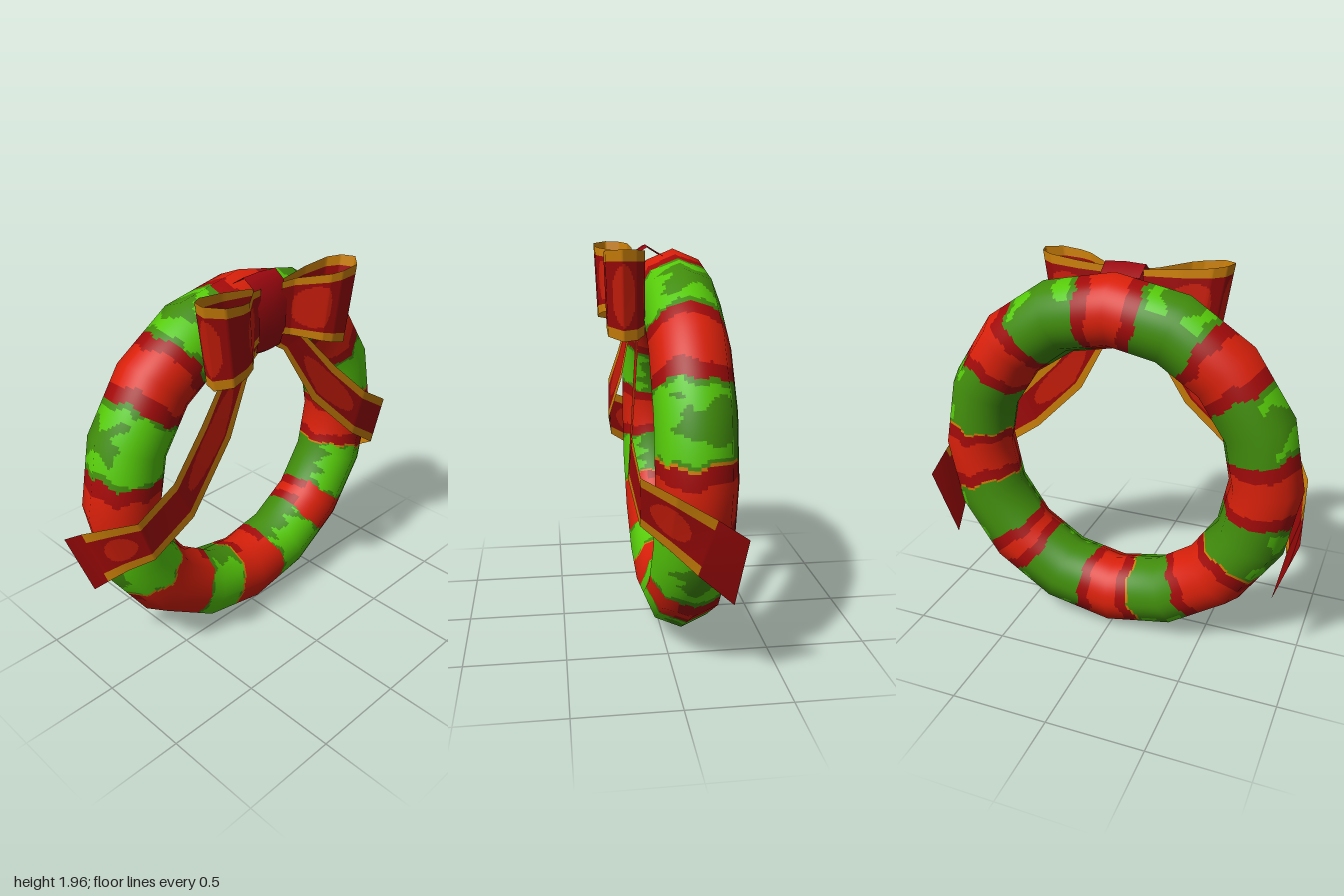
import * as THREE from 'three';

const mat = (name, color, side = THREE.FrontSide) => {
  const m = new THREE.MeshStandardMaterial({ color, side });
  m.name = name;
  return m;
};
const V = (x, y, z) => new THREE.Vector3(x, y, z);

// Bilinear sample of a coarse grid f(i, j), so fine cells keep the low-poly outline
function sample(f, u, v, nu, nv) {
  const i = Math.min(Math.floor(u), nu - 1), j = Math.min(Math.floor(v), nv - 1);
  const a = f(i, j).lerp(f(i + 1, j), u - i);
  const b = f(i, j + 1).lerp(f(i + 1, j + 1), u - i);
  return a.lerp(b, v - j);
}

// Sheet of nu x nv coarse cells, each cut su x sv; paint(u, v) picks a material index
function paintedSheet(name, nu, nv, su, sv, pos, paint, materials, normal) {
  const U = nu * su, W = nv * sv, p = [], n = [];
  const bins = materials.map(() => []);
  for (let i = 0; i <= U; i++) for (let j = 0; j <= W; j++) {
    p.push(...sample(pos, i / su, j / sv, nu, nv));
    if (normal) n.push(...sample(normal, i / su, j / sv, nu, nv).normalize());
  }
  for (let i = 0; i < U; i++) for (let j = 0; j < W; j++) {
    const a = i * (W + 1) + j, b = a + W + 1;
    bins[paint((i + 0.5) / su, (j + 0.5) / sv)].push(a, b, a + 1, b, b + 1, a + 1);
  }
  const g = new THREE.BufferGeometry();
  g.setAttribute('position', new THREE.Float32BufferAttribute(p, 3));
  g.setIndex(bins.flat());
  let start = 0;
  bins.forEach((b, k) => {
    if (b.length) g.addGroup(start, b.length, k);
    start += b.length;
  });
  if (normal) g.setAttribute('normal', new THREE.Float32BufferAttribute(n, 3));
  else g.computeVertexNormals();
  const mesh = new THREE.Mesh(g, materials);
  mesh.name = name;
  return mesh;
}

export function createModel() {
  const group = new THREE.Group();
  group.name = 'wreath';
  const RED = 0, DARK = 1, GOLD = 2, GREEN = 3, DEEP = 4;
  const ringMats = [mat('red', 0xd8200a), mat('darkRed', 0xa20a0a), mat('gold', 0xcc8008),
    mat('lightGreen', 0x56ca0a), mat('deepGreen', 0x418c0c)];
  const ribbonMats = [mat('ribbonRed', 0xc81d0a, THREE.DoubleSide),
    mat('ribbonDarkRed', 0x9c0909, THREE.DoubleSide), mat('ribbonGold', 0xcc8008, THREE.DoubleSide)];
  const knotMat = mat('knotCrimson', 0x9e0810, THREE.DoubleSide);

  // Ring: 16 segments of an octagonal tube
  const dir = (i, j) => {
    const t = i * Math.PI / 8, f = j * Math.PI / 4;
    return V(Math.cos(f) * Math.cos(t), Math.cos(f) * Math.sin(t), Math.sin(f));
  };
  const ringPos = (i, j) => {
    const t = i * Math.PI / 8;
    return dir(i, j).multiplyScalar(0.186)
      .add(V(0.784 * Math.cos(t), 0.976 + 0.784 * Math.sin(t), -0.085));
  };
  // Red stripes as start and end angles in degrees
  const stripes = [[-16, 7], [31, 54], [79, 101], [123, 145], [168, 192], [214, 240], [260, 282], [305, 320]];
  const goldEdges = [7, 214, 260, 344];
  const ringPaint = (u, v) => {
    const f = v * Math.PI / 4, t = u * Math.PI / 8;
    const front = Math.sin(f), outer = Math.cos(f);
    const a = u * 22.5 + 0.8 * Math.sin(3 * f + 5 * t) + 0.5 * Math.sin(7 * f + 2 * t);
    let edge = 99, red = false;
    for (const [s, e] of stripes) for (const o of [0, 360]) {
      edge = Math.min(edge, Math.abs(a - s - o), Math.abs(a - e - o));
      if (a > s + o && a < e + o) red = true;
    }
    if (!red && edge < 0.9 && goldEdges.some(g => Math.abs(a - g) < 0.9)) return GOLD;
    const wave = Math.sin(t * 41 + 2 * f) + 0.7 * Math.sin(t * 67 + 1);
    if (red) {
      const plain = front > 0.35 && Math.sin(t) < -0.3;
      return !plain && edge < 4.8 + 0.3 * wave ? DARK : RED;
    }
    if (front > 0.5 + 0.13 * wave) return edge < 1.3 + 0.9 * Math.sin(9 * f + 13 * t) ? DEEP : GREEN;
    // Outer rim: light streaks beside the stripes, a dark patch between them
    if (outer > 0.35 + 0.1 * wave && front > -0.8) {
      return edge > 6.5 + 2 * Math.sin(5 * f + 3 * t) || edge < 2 ? DEEP : GREEN;
    }
    return DEEP;
  };
  group.add(paintedSheet('ring', 16, 8, 24, 10, ringPos, ringPaint, ringMats, dir));

  // Bow loop seen from above as [x, z], and tail as [upper edge, lower edge]
  const loop = [[0.07, 0.13], [0.14, 0.15], [0.27, 0.26], [0.33, 0.28], [0.43, 0.28],
    [0.5, 0.21], [0.48, 0.14], [0.42, 0.1], [0.27, 0.09], [0.07, 0.11]];
  const tail = [
    [[0.09, 1.76, 0.1], [0.02, 1.62, 0.1]],
    [[0.26, 1.6, 0.11], [0.11, 1.56, 0.11]],
    [[0.47, 1.37, 0.15], [0.29, 1.24, 0.15]],
    [[0.68, 1.17, 0.19], [0.58, 0.95, 0.2]],
    [[0.885, 1.045, 0.175], [0.8, 0.8, 0.17]],
    [[0.965, 0.98, 0.03], [0.87, 0.71, 0.05]],
    [[0.985, 0.88, -0.14], [0.91, 0.6, -0.07]],
    [[1.0, 0.79, -0.275], [0.885, 0.44, -0.24]],
  ];
  const inPatch = (u, v, patches) =>
    patches.some(([c, r, h]) => ((u - c) / r) ** 2 + ((v - 0.5) / h) ** 2 < 1);
  const loopPaint = (u, v) => {
    if (v < 0.12 || v > 0.88) return GOLD;
    return inPatch(u, v, [[1.65, 0.75, 0.32], [5.1, 0.75, 0.34], [7.5, 0.8, 0.3]]) ? RED : DARK;
  };
  const tailPaint = (u, v) => {
    if (u > 6) return DARK;
    if (v < 0.18 || v > 0.82) return GOLD;
    return inPatch(u, v, [[2.1, 0.75, 0.27], [4.9, 0.6, 0.25]]) ? RED : DARK;
  };
  for (const [side, s] of [['left', 1], ['right', -1]]) {
    const loopPos = (i, j) => {
      const [x, z] = loop[i];
      return j ? V(s * x * 0.87, 1.655 - 0.26 * (x - 0.1), z * 0.95) : V(s * x, 1.91 + 0.11 * x, z);
    };
    const tailPos = (i, j) => {
      const [x, y, z] = tail[i][j];
      return V(s * x, y, z);
    };
    group.add(paintedSheet(side + 'BowLoop', 9, 1, 10, 40, loopPos, loopPaint, ribbonMats));
    group.add(paintedSheet(side + 'Tail', 7, 1, 24, 40, tailPos, tailPaint, ribbonMats));
  }

  // Knot: smooth band wrapped over the bow, tapering downwards and bulging in the middle
  const profile = [[-0.03, 1.91], [0.05, 1.96], [0.11, 1.92], [0.14, 1.82],
    [0.14, 1.7], [0.11, 1.6], [0.07, 1.575], [-0.01, 1.61]];
  const knotPos = (i, j) => {
    const [z, y] = profile[i], side = j - 2, bulge = 1 + 0.015 * (2 - Math.abs(side));
    const halfWidth = 0.08 + 0.025 * (y - 1.58) / 0.38;
    return V(halfWidth * side / 2, 1.77 + (y - 1.77) * bulge, 0.04 + (z - 0.04) * (2 * bulge - 1));
  };
  group.add(paintedSheet('knot', 7, 4, 1, 1, knotPos, () => 0, [knotMat]));
  return group;
}
